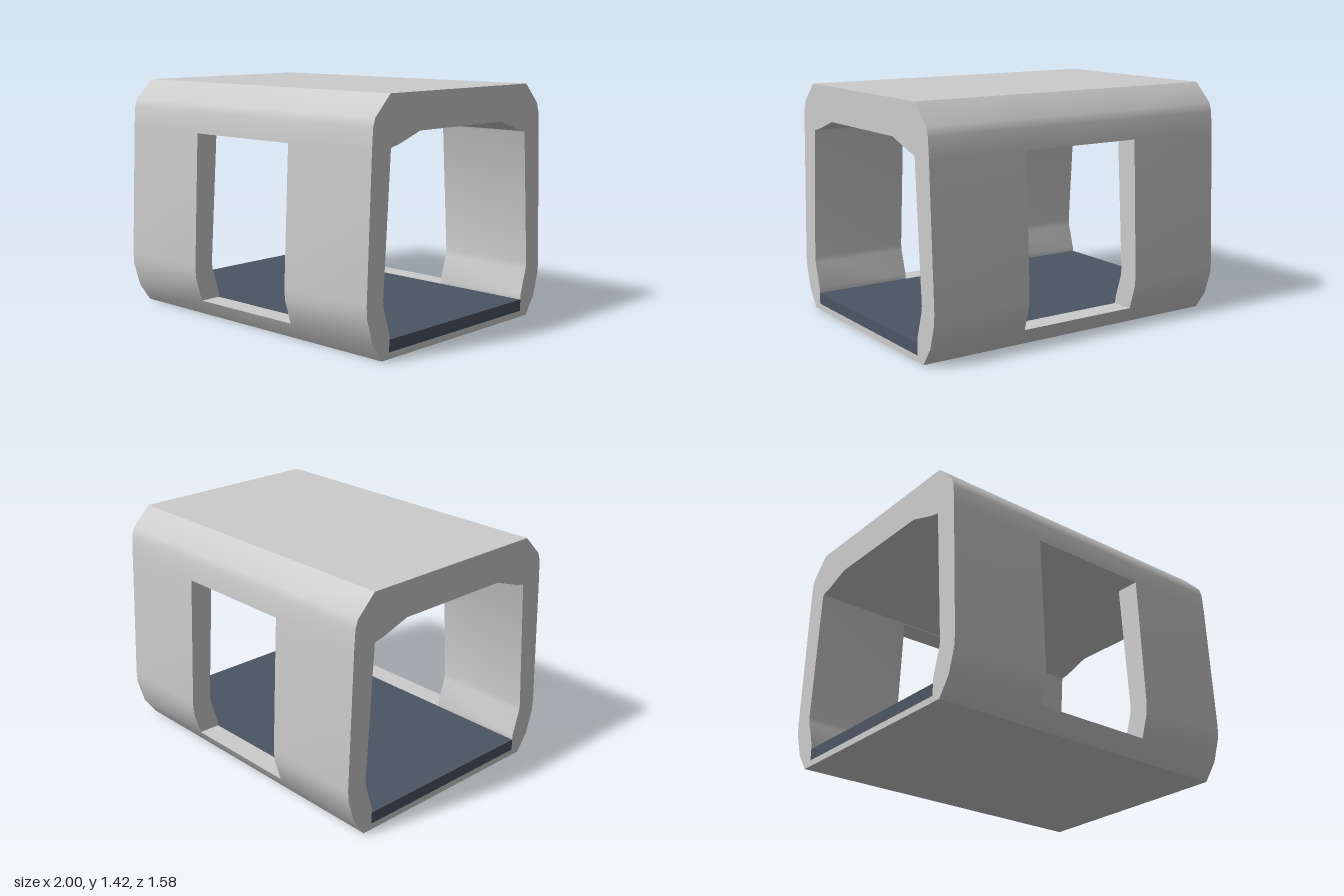
import * as THREE from 'three';
import { mergeGeometries, toCreasedNormals } from 'three/addons/utils/BufferGeometryUtils.js';

const HALF = 1, DOOR = 0.385, SILL = 0.107, LINTEL = 1.127, EPS = 1e-4;

// Half cross-sections as [z, y], from bottom to top
const outerHalf = [[0.67, 0], [0.745, SILL], [0.788, 0.25], [0.792, 0.32], [0.757, LINTEL],
  [0.749, 1.25], [0.733, 1.3], [0.614, 1.42]];
const innerHalf = [[0.61, 0.037], [0.61, SILL], [0.61, 0.135], [0.657, 0.29], [0.662, 0.33],
  [0.609, LINTEL], [0.605, 1.137], [0.546, 1.15], [0.37, 1.21]];

const flip = pts => pts.map(([z, y]) => [-z, y]);
const closeLoop = half => [...half, ...flip(half).reverse()];
const inDoor = ([, y]) => y > SILL - EPS && y < LINTEL + EPS;
const toVectors = pts => pts.map(([z, y]) => new THREE.Vector2(z, y));

// Flat section placed across the x axis, facing +x or -x
function section(shape, x, facing) {
  const g = new THREE.ShapeGeometry(shape).toNonIndexed();
  g.rotateY(facing * Math.PI / 2).translate(x, 0, 0);
  g.deleteAttribute('uv');
  g.deleteAttribute('normal');
  return g;
}

function shellGeometry() {
  const pos = [];
  const strip = (a, b, x0, x1, inward) => {
    const A = [x0, a[1], a[0]], B = [x0, b[1], b[0]], C = [x1, b[1], b[0]], D = [x1, a[1], a[0]];
    const tris = inward ? [A, B, C, A, C, D] : [A, D, C, A, C, B];
    pos.push(...tris.flat());
  };

  // Outer and inner skins in three bays, leaving the doorways open in the middle bay
  const outer = closeLoop(outerHalf), inner = closeLoop(innerHalf);
  const bays = [[-HALF, -DOOR], [-DOOR, DOOR], [DOOR, HALF]];
  for (const [loop, inward] of [[outer, false], [inner, true]]) {
    loop.forEach((a, i) => {
      const b = loop[(i + 1) % loop.length];
      bays.forEach(([x0, x1], bay) => {
        if (bay === 1 && inDoor(a) && inDoor(b)) return;
        strip(a, b, x0, x1, inward);
      });
    });
  }

  // Sills and lintels of both doorways
  const at = (half, y) => half.find(p => p[1] === y);
  const [so, si, lo, li] = [at(outerHalf, SILL), at(innerHalf, SILL), at(outerHalf, LINTEL), at(innerHalf, LINTEL)];
  strip(so, si, -DOOR, DOOR, false);
  strip(...flip([si, so]), -DOOR, DOOR, false);
  strip(li, lo, -DOOR, DOOR, false);
  strip(...flip([lo, li]), -DOOR, DOOR, false);

  const skins = new THREE.BufferGeometry();
  skins.setAttribute('position', new THREE.Float32BufferAttribute(pos, 3));
  const parts = [skins];

  // Open end rims and door jambs
  const rim = new THREE.Shape(toVectors(outer));
  rim.holes.push(new THREE.Path(toVectors(inner)));
  const wall = [...outerHalf.filter(inDoor), ...innerHalf.filter(inDoor).reverse()];
  for (const side of [-1, 1]) {
    parts.push(section(rim, side * HALF, side));
    for (const pts of [wall, flip(wall)]) {
      parts.push(section(new THREE.Shape(toVectors(pts)), side * DOOR, -side));
    }
  }
  return toCreasedNormals(mergeGeometries(parts), 0.5);
}

export function createModel() {
  const group = new THREE.Group();
  group.name = 'cabinModule';

  const shell = new THREE.Mesh(shellGeometry(), new THREE.MeshStandardMaterial({ color: 0xcccccc }));
  shell.name = 'shell';
  group.add(shell);

  // Dark floor slab resting in the bottom of the shell
  const floor = new THREE.Mesh(
    new THREE.BoxGeometry(2 * HALF, SILL - 0.037, 1.22),
    new THREE.MeshStandardMaterial({ color: 0x4b5563 }));
  floor.name = 'floor';
  floor.position.y = (SILL + 0.037) / 2;
  group.add(floor);

  return group;
}
